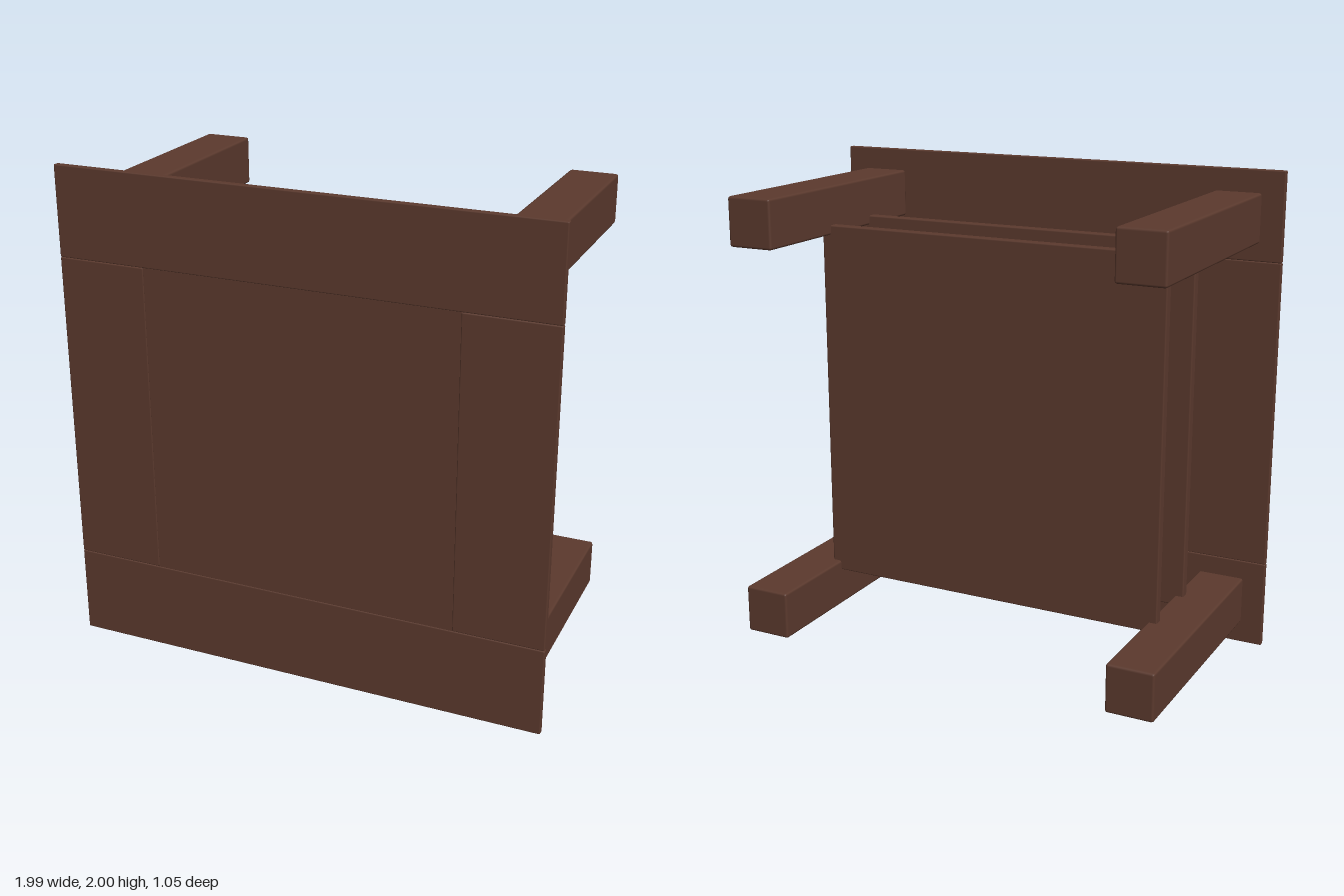
import * as THREE from 'three';
import { RoundedBoxGeometry } from 'three/addons/geometries/RoundedBoxGeometry.js';

export function createModel() {
  const group = new THREE.Group();
  group.name = 'table';
  const wood = new THREE.MeshStandardMaterial({ color: 0x5c3a2e });
  wood.name = 'dark brown wood';

  // Box with softly eased edges, given by its minimum and maximum corners
  function board(name, [x0, y0, z0], [x1, y1, z1], ease) {
    const geometry = new RoundedBoxGeometry(x1 - x0, y1 - y0, z1 - z0, 1, ease);
    const mesh = new THREE.Mesh(geometry, wood);
    mesh.name = name;
    mesh.position.set((x0 + x1) / 2, (y0 + y1) / 2, (z0 + z1) / 2);
    group.add(mesh);
  }

  // Table top, facing +z: two rails, two stiles and a slightly recessed centre
  const back = 0.498, front = 0.525;
  board('lowerRail', [-0.995, 0, back], [0.995, 0.366, front], 0.005);
  board('upperRail', [-0.995, 1.638, back], [0.995, 2, front], 0.005);
  board('rightStile', [-0.995, 0.366, back], [-0.632, 1.638, front], 0.005);
  board('leftStile', [0.632, 0.366, back], [0.995, 1.638, front], 0.005);
  board('centrePanel', [-0.634, 0.364, back + 0.003], [0.634, 1.64, front - 0.003], 0.002);

  // Four square legs reaching backwards
  for (const x of [-0.905, 0.71]) {
    for (const y of [0.093, 1.712]) {
      board('leg', [x, y, -0.525], [x + 0.195, y + 0.198, 0.499], 0.01);
    }
  }

  // Two shelves let into the inner corners of the legs
  for (const z of [-0.106, 0.191]) {
    board('shelf', [-0.75, 0.25, z], [0.75, 1.752, z + 0.042], 0.006);
  }

  return group;
}
